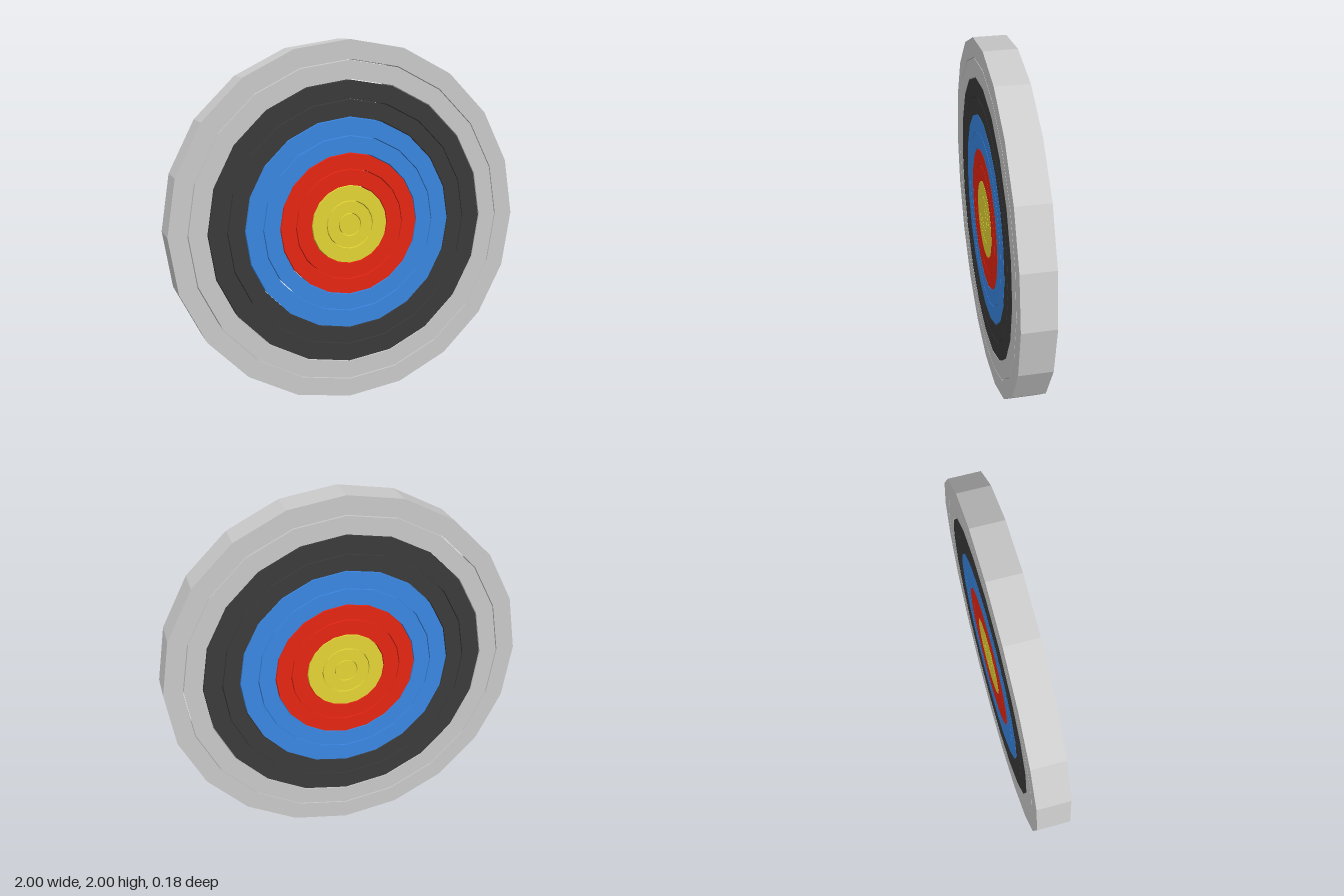
import * as THREE from 'three';

const HALF_DEPTH = 0.09;
const SIDES = 20;
const GAP = 0.005; // slit between neighbouring rings

// One 20-sided ring (or disc when inner is 0) turned around the z axis
function makeRing(inner, outer, material, name) {
  const h = HALF_DEPTH;
  const profile = [[inner, -h], [outer, -h], [outer, h], [inner, h]];
  if (inner > 0) profile.push([inner, -h]);
  const geometry = new THREE.LatheGeometry(profile.map(([r, y]) => new THREE.Vector2(r, y)), SIDES);
  geometry.rotateX(Math.PI / 2);
  const mesh = new THREE.Mesh(geometry, material);
  mesh.name = name;
  return mesh;
}

export function createModel() {
  const model = new THREE.Group();
  model.name = 'archeryTarget';

  // Colour bands from the centre out, with the outer radius of each ring
  const bands = [
    { name: 'yellow', color: 0xe6d736, radii: [0.06, 0.13, 0.215] },
    { name: 'red', color: 0xe82613, radii: [0.305, 0.393] },
    { name: 'blue', color: 0x3a88e4, radii: [0.487, 0.587] },
    { name: 'black', color: 0x3b3b3b, radii: [0.682, 0.787] },
    { name: 'outer', color: 0xcccccc, radii: [0.892, 1] },
  ];

  let inner = 0;
  for (const { name, color, radii } of bands) {
    const material = new THREE.MeshStandardMaterial({ color, flatShading: true });
    const band = new THREE.Group();
    band.name = name + 'Band';
    radii.forEach((outer, i) => {
      band.add(makeRing(inner, outer, material, `${name}Ring${i + 1}`));
      inner = outer + GAP;
    });
    model.add(band);
  }

  // Stand the disc on the ground
  model.children.forEach((band) => { band.position.y = 1; });
  return model;
}
